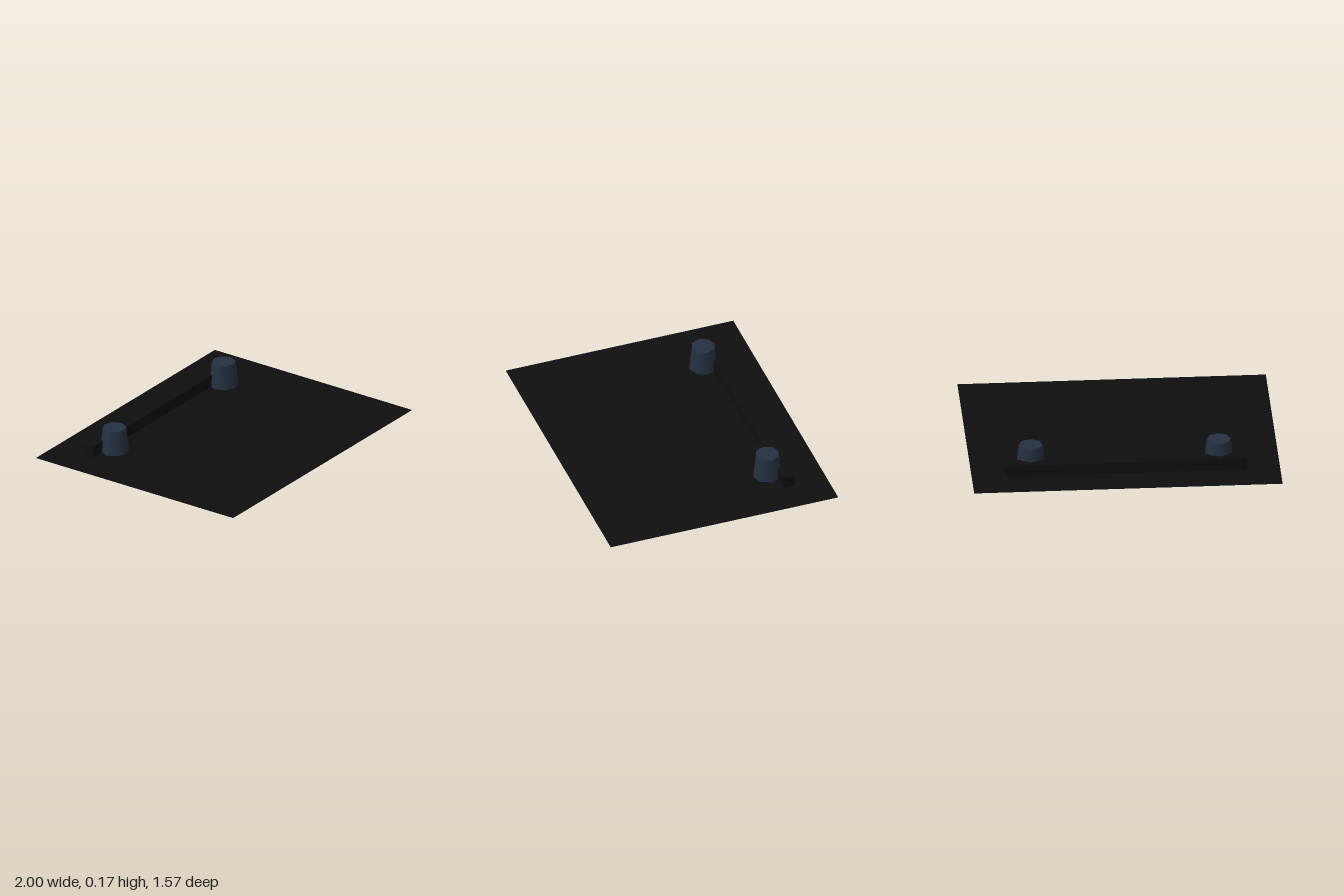
import * as THREE from 'three';

export function createModel() {
  const model = new THREE.Group();
  const black = new THREE.MeshStandardMaterial({ color: 0x0e0e0e, side: THREE.DoubleSide });
  black.name = 'black';
  const slate = new THREE.MeshStandardMaterial({ color: 0x243142 });
  slate.name = 'slate blue';

  const add = (name, geometry, material, x, y, z) => {
    const mesh = new THREE.Mesh(geometry, material);
    mesh.name = name;
    mesh.position.set(x, y, z);
    model.add(mesh);
  };

  // Flat ground sheet
  add('groundSheet', new THREE.PlaneGeometry(2, 1.565).rotateX(-Math.PI / 2), black, 0, 0, 0);

  // Low bar running along the back
  add('backBar', new THREE.BoxGeometry(1.565, 0.078, 0.085), black, 0, 0.04, -0.522);

  // Two tapered eight-sided posts in front of the bar
  const post = new THREE.CylinderGeometry(0.078, 0.095, 0.164, 8);
  for (const side of [1, -1]) {
    add(side > 0 ? 'leftPost' : 'rightPost', post, slate, side * 0.61, 0.083, -0.435);
  }
  return model;
}
